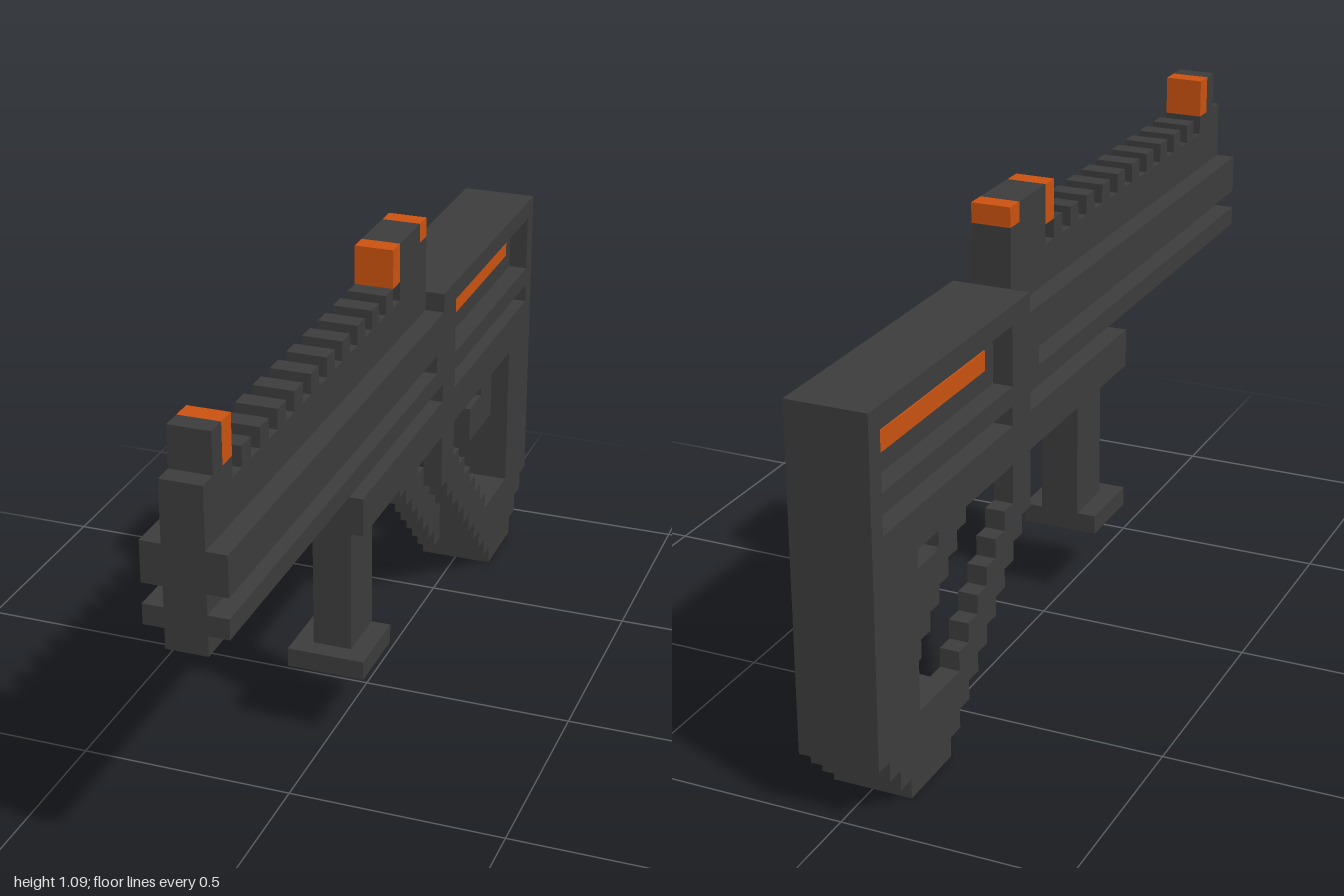
import * as THREE from 'three';

// One block is 1/22 unit. s counts blocks from the front end, y counts blocks up.
const U = 1 / 22;

export function createModel() {
  const model = new THREE.Group();
  const dark = new THREE.MeshStandardMaterial({ color: 0x3d3d3d });
  dark.name = 'charcoal';
  const orange = new THREE.MeshStandardMaterial({ color: 0xcc5310 });
  orange.name = 'orange';

  function add(name, geometry, material) {
    const mesh = new THREE.Mesh(geometry, material);
    mesh.name = name;
    model.add(mesh);
    return mesh;
  }

  // Box from s0 to s1 and y0 to y1, with the given width centred on x
  function block(name, s0, s1, y0, y1, width, material = dark, x = 0) {
    const geo = new THREE.BoxGeometry(width * U, (y1 - y0) * U, (s1 - s0) * U);
    geo.translate(x * U, ((y0 + y1) / 2) * U, (22 - (s0 + s1) / 2) * U);
    return add(name, geo, material);
  }

  // Side outline with holes, extruded across x
  const toPoints = (pts) => pts.map(([s, y]) => new THREE.Vector2((22 - s) * U, y * U));
  function slab(name, outline, holes, width, x) {
    const shape = new THREE.Shape(toPoints(outline));
    holes.forEach((h) => shape.holes.push(new THREE.Path(toPoints(h))));
    const geo = new THREE.ExtrudeGeometry(shape, { depth: width * U, bevelEnabled: false });
    geo.translate(0, 0, (-width / 2) * U).rotateY(-Math.PI / 2).translate(x * U, 0, 0);
    add(name, geo, dark);
  }
  const rect = (s0, s1, y0, y1) => [[s0, y0], [s1, y0], [s1, y1], [s0, y1]];

  // Stock: narrow core between two side plates with stepped guards
  const back = [[28, 20], [44, 20], [44, 3], [43, 3], [43, 2], [42, 2], [42, 1], [41, 1], [41, 0], [37, 0]];
  slab('stockCore', [...back, [37, 4], [40, 4], [40, 12], [28, 12]], [], 2, 0);

  const plate = [...back];
  for (let i = 0; i < 9; i++) plate.push([37 - i, i + 1], [36 - i, i + 1]);
  const opening = [[30, 12], [40, 12], [40, 4], [36, 4]];
  for (let i = 0; i < 6; i++) opening.push([36 - i, 5 + i], [35 - i, 5 + i]);
  const recesses = [rect(30, 43, 16, 19), rect(30, 43, 14, 15)];

  for (const side of [-1, 1]) {
    slab('stockSidePlate', plate, [opening, ...recesses], 1, side * 1.5);
    block('stockStripe', 31, 42, 17, 18, 0.1, orange, side * 1.02);

    // Ridges along the barrel
    block('upperRidge', 0, 28, 17, 19, 1, dark, side * 1.5);
    block('lowerRidge', 0, 28, 15, 16, 1, dark, side * 1.5);
    block('ridgeJoint', 27, 28, 16, 17, 1, dark, side * 1.5);
  }

  // Barrel and underside
  block('barrelCore', 0, 28, 14, 21, 2);
  block('underBody', 16, 28, 12, 14, 4);

  // Toothed top rail
  block('railFront', 0, 3, 21, 22, 2);
  for (let s = 4; s <= 22; s += 2) block('railTooth', s, s + 1, 21, 22, 2);

  // Sights
  block('frontSight', 1, 2, 22, 24, 2);
  block('frontSightMark', 2, 3, 22, 24, 2, orange);
  block('rearSight', 24, 27, 21, 24, 2);
  block('rearSightBase', 27, 28, 21, 23, 2);
  block('rearSightMark', 23, 24, 22, 24, 2, orange);
  block('rearSightBackMark', 27, 28, 23, 24, 2, orange);

  // Front grip
  block('frontGrip', 17, 20, 5, 12, 2);
  block('frontGripFoot', 16, 20, 4, 5, 4);

  // Trigger
  block('triggerStem', 38, 40, 10, 12, 2);
  block('triggerBlade', 36, 40, 8, 10, 2);

  return model;
}
